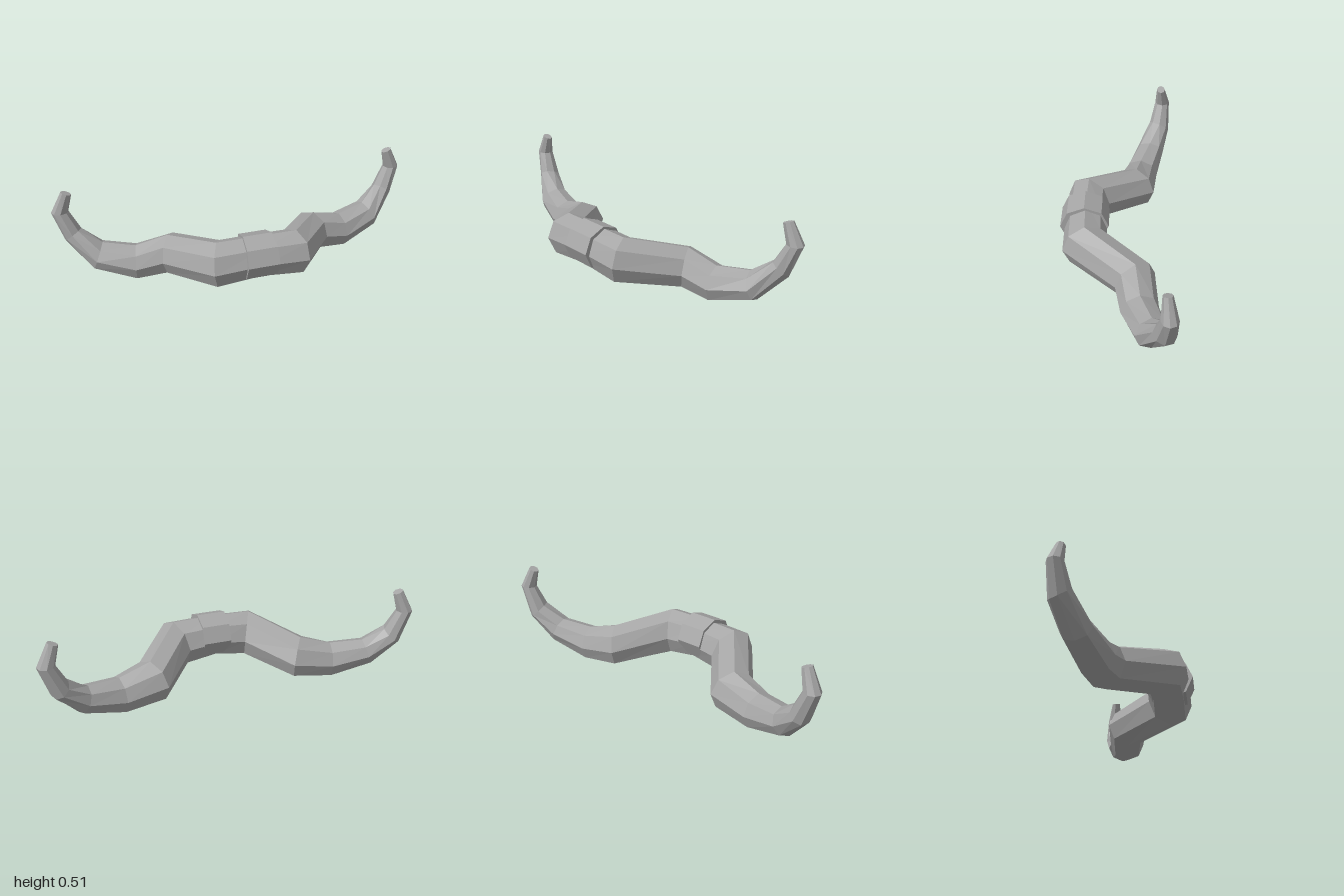
import * as THREE from 'three';

const SIDES = 8;

// Skins a run of elliptical sections, ordered from -x to +x, and closes both ends.
// Each section: c = centre, f = vector to its front corner, u = vector to its top corner.
function sweep(sections) {
  const pos = [];
  const idx = [];
  for (const { c, f, u } of sections) {
    for (let j = 0; j < SIDES; j++) {
      const a = (j / SIDES) * Math.PI * 2;
      for (let k = 0; k < 3; k++) pos.push(c[k] + Math.cos(a) * f[k] + Math.sin(a) * u[k]);
    }
  }
  const last = (sections.length - 1) * SIDES;
  for (let i = 0; i < last; i += SIDES) {
    for (let j = 0; j < SIDES; j++) {
      const n = (j + 1) % SIDES;
      const a = i + j, b = a + SIDES, d = i + n, e = d + SIDES;
      idx.push(a, b, e, a, e, d);
    }
  }
  for (let j = 1; j < SIDES - 1; j++) {
    idx.push(0, j, j + 1, last, last + j + 1, last + j);
  }
  const geo = new THREE.BufferGeometry();
  geo.setAttribute('position', new THREE.Float32BufferAttribute(pos, 3));
  geo.setIndex(idx);
  const flat = geo.toNonIndexed();
  flat.computeVertexNormals();
  return flat;
}

const flipX = ([x, y, z]) => [-x, y, z];
const mirror = ({ c, f, u }) => ({ c: flipX(c), f: flipX(f), u: flipX(u) });

export function createModel() {
  const group = new THREE.Group();
  const grey = new THREE.MeshStandardMaterial({ color: 0xa6a6a6, flatShading: true });
  grey.name = 'grey';

  // Left half, from the middle out to the upturned tip
  const middle = { c: [0, 0.205, 0.165], f: [0, 0, 0.113], u: [0, 0.115, 0] };
  const half = [
    { c: [0.208, 0.19, 0.16], f: [0.05, 0, 0.115], u: [0.01, 0.127, 0] },
    { c: [0.41, 0.135, -0.105], f: [0.06, 0, 0.1], u: [0.01, 0.113, 0] },
    { c: [0.59, 0.1, -0.13], f: [0.02, 0, 0.095], u: [0, 0.098, 0] },
    { c: [0.785, 0.145, -0.185], f: [0.02, 0, 0.08], u: [-0.028, 0.071, 0] },
    { c: [0.9, 0.26, -0.242], f: [0.01, 0.02, 0.057], u: [-0.045, 0.03, 0] },
    { c: [0.955, 0.397, -0.257], f: [0, 0, 0.042], u: [-0.045, 0, 0] },
    { c: [0.912, 0.506, -0.245], f: [0, 0, 0.024], u: [-0.027, -0.01, 0] },
  ];
  const body = new THREE.Mesh(sweep([...half.map(mirror).reverse(), middle, ...half]), grey);
  body.name = 'hornPair';
  group.add(body);

  // Raised band around the middle
  const side = { c: [0.08, 0.215, 0.17], f: [0.005, 0, 0.13], u: [-0.002, 0.118, 0] };
  const band = new THREE.Mesh(sweep([mirror(side), side]), grey);
  band.name = 'middleBand';
  group.add(band);

  return group;
}
